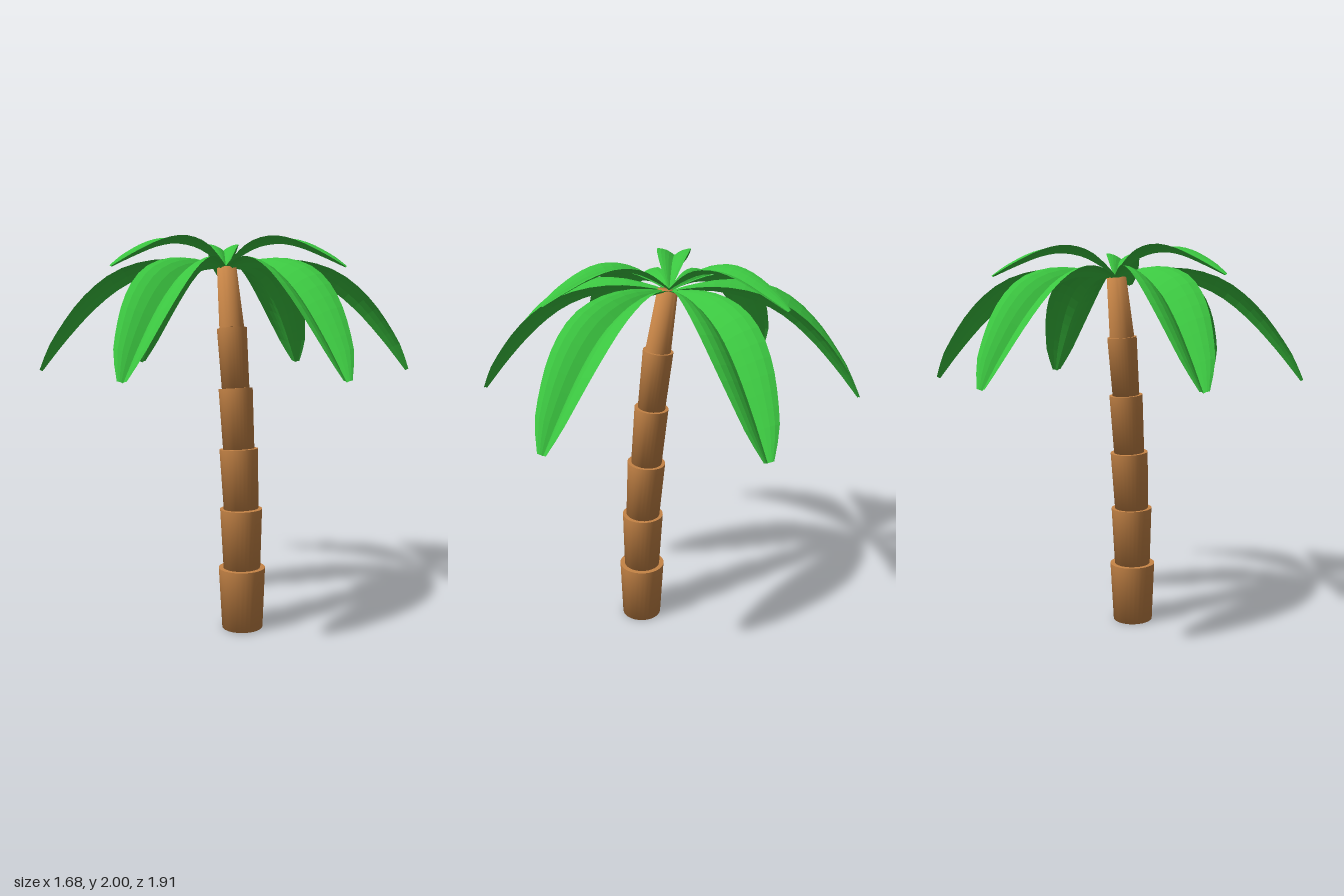
import * as THREE from 'three';
import { toCreasedNormals } from 'three/addons/utils/BufferGeometryUtils.js';

const bark = new THREE.MeshStandardMaterial({ color: 0xc68446 });
bark.name = 'bark brown';
const green = new THREE.MeshStandardMaterial({ color: 0x3bc540, side: THREE.DoubleSide, flatShading: true });
green.name = 'leaf green';

// One flared trunk section standing between two points of the leaning trunk
function trunkSection(y0, z0, r0, y1, z1, r1) {
  const a = new THREE.Vector3(0, y0, z0);
  const axis = new THREE.Vector3(0, y1, z1).sub(a);
  const h = axis.length();
  const geo = new THREE.CylinderGeometry(r1, r0, h, 28).translate(0, h / 2, 0);
  const mesh = new THREE.Mesh(toCreasedNormals(geo, Math.PI / 2), bark);
  mesh.quaternion.setFromUnitVectors(new THREE.Vector3(0, 1, 0), axis.normalize());
  mesh.position.copy(a);
  return mesh;
}

const spline = (pts) => new THREE.CatmullRomCurve3(pts.map(([x, y]) => new THREE.Vector3(x, y, 0)));

// Folded frond along +x: the midrib is a valley and both halves arch upward
function frondGeometry(ribPoints, widths, lift) {
  const rib = spline(ribPoints);
  const widthCurve = spline(widths.map((w, i) => [i, w]));
  const rows = 16, half = 4, cols = half * 2 + 1;
  const pos = [], index = [];
  for (let i = 0; i <= rows; i++) {
    const t = i / rows;
    const p = rib.getPointAt(t), d = rib.getTangentAt(t);
    const w = widthCurve.getPoint(t).y;
    for (let j = 0; j < cols; j++) {
      const s = (j - half) / half, u = Math.abs(s);
      const up = w * lift * (1 - (1 - u) ** 2);
      pos.push(p.x - d.y * up, p.y + d.x * up, s * w);
      if (i < rows && j < cols - 1) {
        const a = i * cols + j, c = a + cols;
        index.push(a, a + 1, c, a + 1, c + 1, c);
      }
    }
  }
  const geo = new THREE.BufferGeometry();
  geo.setAttribute('position', new THREE.Float32BufferAttribute(pos, 3));
  geo.setIndex(index);
  geo.computeVertexNormals();
  return geo;
}

export function createModel() {
  const tree = new THREE.Group();
  tree.name = 'palmTree';

  // Trunk: [height, z of the centre, radius at bottom of section, radius at top]
  const trunk = new THREE.Group();
  trunk.name = 'trunk';
  const joints = [[0, 0.16], [0.32, 0.154], [0.63, 0.145], [0.94, 0.122], [1.25, 0.092], [1.555, 0.056], [1.86, 0.008]];
  const radii = [[0.106, 0.121], [0.096, 0.109], [0.09, 0.1], [0.081, 0.088], [0.071, 0.077], [0.064, 0.05]];
  radii.forEach(([r0, r1], i) => {
    const section = trunkSection(...joints[i], r0, ...joints[i + 1], r1);
    section.name = 'trunkSection' + (i + 1);
    trunk.add(section);
  });
  tree.add(trunk);

  // Crown: six long drooping fronds and three short upper ones
  const longFrond = frondGeometry(
    [[0, 1.85], [0.1, 1.86], [0.25, 1.855], [0.4, 1.82], [0.53, 1.76], [0.67, 1.65], [0.82, 1.49], [0.945, 1.335]],
    [0.008, 0.045, 0.085, 0.12, 0.142, 0.145, 0.133, 0.11, 0.08, 0.025], 0.52);
  const shortFrond = frondGeometry(
    [[0, 1.86], [0.08, 1.91], [0.18, 1.955], [0.3, 1.968], [0.4, 1.948], [0.52, 1.9], [0.64, 1.845]],
    [0.008, 0.032, 0.055, 0.074, 0.085, 0.085, 0.078, 0.066, 0.048, 0.018], 0.4);
  const crown = new THREE.Group();
  crown.name = 'crown';
  const addFrond = (geo, name, degrees) => {
    const frond = new THREE.Mesh(geo, green);
    frond.name = name;
    frond.rotation.y = THREE.MathUtils.degToRad(degrees);
    crown.add(frond);
  };
  for (let i = 0; i < 6; i++) addFrond(longFrond, 'longFrond' + (i + 1), 30 + i * 60);
  for (let i = 0; i < 3; i++) addFrond(shortFrond, 'shortFrond' + (i + 1), 60 + i * 120);
  tree.add(crown);

  return tree;
}
